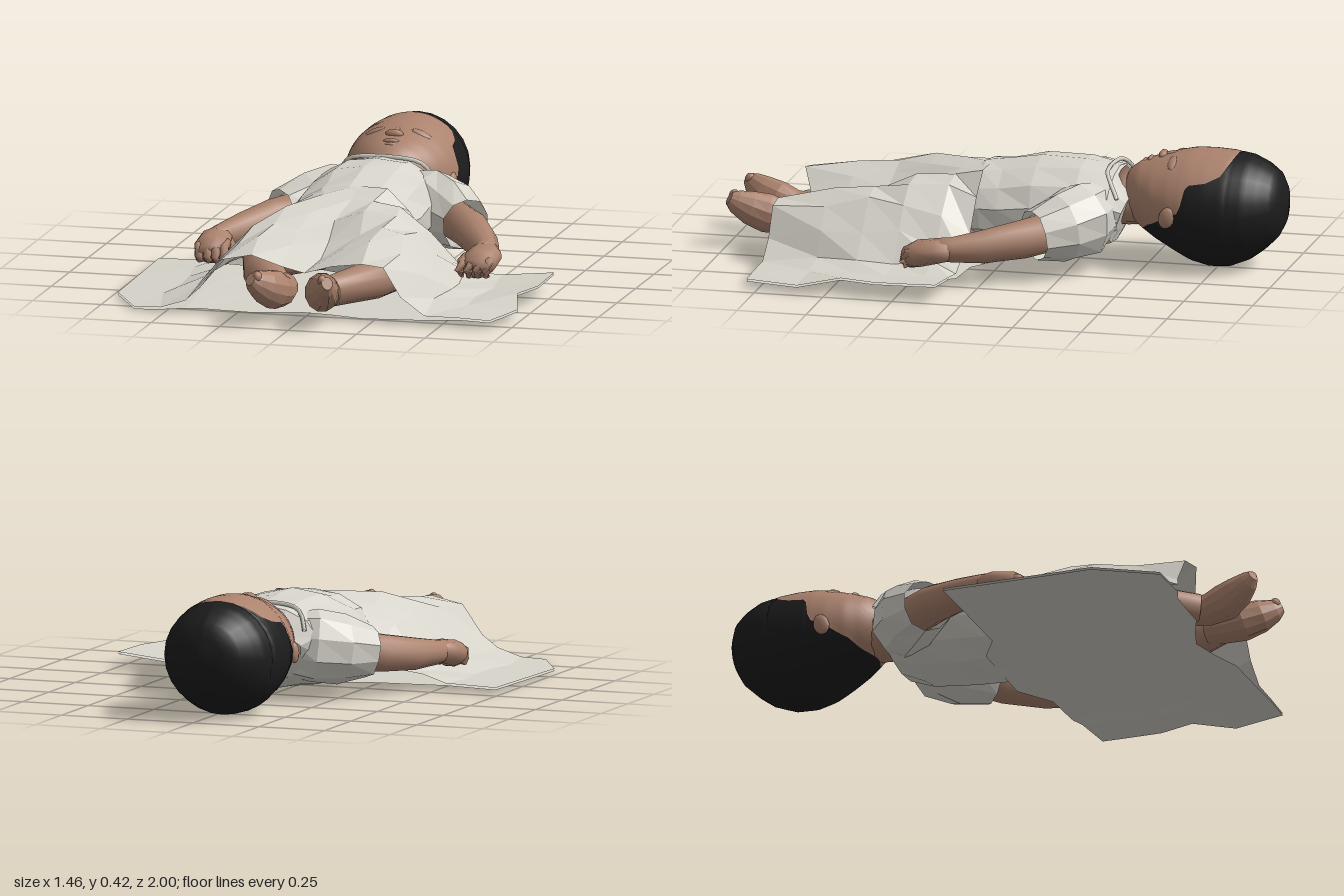
import * as THREE from 'three';

const V = (x, y, z) => new THREE.Vector3(x, y, z);

// Surface through rows of points; optional wrap-around and end caps
function grid(rows, { wrap = false, capStart = false, capEnd = false, flat = true } = {}) {
  const n = rows[0].length, pos = [], idx = [];
  rows.flat().forEach(p => pos.push(p.x, p.y, p.z));
  for (let i = 0; i < rows.length - 1; i++) {
    for (let j = 0; j < (wrap ? n : n - 1); j++) {
      const k = (j + 1) % n, a = i * n + j, b = i * n + k;
      idx.push(a, b, b + n, a, b + n, a + n);
    }
  }
  const cap = (r, end) => {
    const c = rows[r].reduce((s, p) => s.add(p), V(0, 0, 0)).divideScalar(n);
    const m = pos.length / 3;
    pos.push(c.x, c.y, c.z);
    for (let j = 0; j < n; j++) {
      const a = r * n + j, b = r * n + (j + 1) % n;
      if (end) idx.push(m, a, b); else idx.push(m, b, a);
    }
  };
  if (capStart) cap(0, false);
  if (capEnd) cap(rows.length - 1, true);
  let g = new THREE.BufferGeometry();
  g.setAttribute('position', new THREE.Float32BufferAttribute(pos, 3));
  g.setIndex(idx);
  if (flat) g = g.toNonIndexed();
  g.computeVertexNormals();
  return g;
}

// Elliptical loft along stations [x, y, z, halfWidth, halfHeight]
function limb(st, { sides = 12, caps = true, mirror = 1, wobble = 0, flat = false } = {}) {
  const c = st.map(s => V(s[0] * mirror, s[1], s[2]));
  const rows = st.map((s, i) => {
    const t = c[Math.min(i + 1, c.length - 1)].clone().sub(c[Math.max(i - 1, 0)]).normalize();
    const side = V(0, 1, 0).cross(t).normalize();
    const up = t.clone().cross(side);
    return Array.from({ length: sides }, (_, j) => {
      const a = (j + 0.5) / sides * Math.PI * 2;
      const w = 1 + wobble * Math.sin(j * 2.3 + i * 1.9);
      return c[i].clone().addScaledVector(side, Math.cos(a) * s[3] * w).addScaledVector(up, Math.sin(a) * s[4] * w);
    });
  });
  return grid(rows, { wrap: true, capStart: caps, capEnd: caps, flat });
}

// Linear lookup in a table whose first column is the key
function lookup(table, key) {
  let i = 0;
  while (i < table.length - 2 && key > table[i + 1][0]) i++;
  const a = table[i], b = table[i + 1];
  const t = THREE.MathUtils.clamp((key - a[0]) / (b[0] - a[0]), 0, 1);
  return a.map((v, k) => v + (b[k] - v) * t);
}

// Head sections: z, half width, lowest y, highest y
const HEAD = [[-1, 0.01, 0.22, 0.25], [-0.99, 0.07, 0.165, 0.305], [-0.965, 0.12, 0.115, 0.35],
  [-0.92, 0.162, 0.07, 0.383], [-0.87, 0.19, 0.032, 0.405], [-0.8, 0.208, 0.004, 0.416],
  [-0.73, 0.213, 0, 0.42], [-0.66, 0.21, 0.018, 0.418], [-0.6, 0.197, 0.05, 0.405],
  [-0.53, 0.17, 0.09, 0.385], [-0.47, 0.13, 0.13, 0.365], [-0.43, 0.09, 0.17, 0.335], [-0.405, 0.03, 0.22, 0.29]];
// Half angle of the face opening in the hair along z
const HAIRLINE = [[-0.82, 0], [-0.812, 0.4], [-0.79, 0.76], [-0.74, 0.92], [-0.67, 1.0],
  [-0.65, 1.5], [-0.58, 1.75], [-0.52, 2.1], [-0.475, 2.7], [-0.46, Math.PI]];

function headPart(isHair) {
  const rows = [];
  for (let i = 0; i <= 50; i++) {
    const z = -1 + 0.595 * i / 50;
    const [, hw, lo, hi] = lookup(HEAD, z), open = lookup(HAIRLINE, z)[1];
    const from = isHair ? 2 * Math.PI - open : open, to = isHair ? open : -open;
    rows.push(Array.from({ length: 25 }, (_, j) => {
      const a = from + (to - from) * j / 24;
      return V(-0.028 + hw * Math.sin(a), (lo + hi) / 2 + (hi - lo) / 2 * Math.cos(a), z);
    }));
  }
  return grid(rows, { capStart: isHair, capEnd: !isHair, flat: false });
}

// Skirt: heights over columns of x, one row for each z
const SKIRT_X = [0, 0.1, 0.2, 0.29, 0.37, 0.44, 0.55, 0.73];
const SKIRT = [
  [0.07, 0.33, 0.32, 0.26, 0.13, 0.07, 0.045, 0.033, 0.028],
  [0.18, 0.305, 0.312, 0.28, 0.2, 0.11, 0.06, 0.033, 0.026],
  [0.32, 0.255, 0.285, 0.29, 0.235, 0.145, 0.06, 0.03, 0.024],
  [0.45, 0.205, 0.245, 0.268, 0.24, 0.15, 0.06, 0.028, 0.022],
  [0.6, 0.175, 0.212, 0.245, 0.22, 0.135, 0.055, 0.026, 0.02],
  [0.78, 0.15, 0.185, 0.216, 0.19, 0.1, 0.04, 0.022, 0.018]];

function skirtSheet(under) {
  const rows = SKIRT.map((r, i) => {
    const row = [];
    for (let c = 7; c >= -7; c--) {
      const k = Math.abs(c), s = Math.sign(c), edge = k === 7;
      let x = s * SKIRT_X[k], z = r[0];
      if (i === 0) z += c * 0.004;
      if (i === 5) z += k < 2 ? -0.05 + 0.025 * k : s < 0 && k > 4 ? 0.035 : 0.015;
      if (edge && i === 5) x = s < 0 ? -0.61 : 0.68;
      if (k === 6 && i === 5 && s < 0) x = -0.52;
      if (edge && s > 0 && i === 3) x = 0.69;
      let y = r[k + 1];
      if (k < 7) x += 0.015 * Math.sin(i * 2.1 + c * 1.7);
      if (k > 0 && k < 6) y += 0.01 * Math.sin(i * 2.7 + c * 2.2);
      if (k > 5) y += s < 0 ? -0.005 : 0.012 + (edge && i < 4 ? 0.024 : 0);
      if (under) y = k > 5 ? y - 0.008 : 0.008 + k * 0.002;
      row.push(V(x, y, z));
    }
    return row;
  });
  // The back panel narrows up to the waist
  if (under) rows.unshift(rows[0].map(p => Math.abs(p.x) < 0.25 ? V(p.x * 0.8, 0.018, -0.01) : p));
  return grid(rows);
}

export function createModel() {
  const model = new THREE.Group();
  const skin = new THREE.MeshStandardMaterial({ color: 0xab826d });
  skin.name = 'skin';
  const hair = new THREE.MeshStandardMaterial({ color: 0x1c1c1c });
  hair.name = 'hair';
  const cloth = new THREE.MeshStandardMaterial({ color: 0xd6d3ca, side: THREE.DoubleSide });
  cloth.name = 'dressCloth';
  const add = (name, geo, mat) => {
    const m = new THREE.Mesh(geo, mat);
    m.name = name;
    model.add(m);
    return m;
  };
  const blob = (name, p, s) => {
    const m = add(name, new THREE.SphereGeometry(1, 10, 7), skin);
    m.position.set(...p);
    m.scale.set(...s);
    return m;
  };

  // Head, hair and neck
  add('face', headPart(false), skin);
  add('hair', headPart(true), hair);
  add('neck', limb([[-0.025, 0.22, -0.56, 0.1, 0.08], [-0.025, 0.22, -0.43, 0.105, 0.09],
    [-0.025, 0.235, -0.375, 0.14, 0.105]]), skin);

  // Small facial features
  blob('noseBridge', [-0.028, 0.39, -0.575], [0.014, 0.014, 0.035]).rotation.x = 0.25;
  blob('noseTip', [-0.028, 0.388, -0.547], [0.034, 0.018, 0.017]);
  blob('upperLip', [-0.028, 0.368, -0.502], [0.032, 0.015, 0.012]);
  blob('lowerLip', [-0.028, 0.359, -0.482], [0.026, 0.014, 0.011]);
  for (const s of [-1, 1]) {
    const lid = blob('closedEyelid', [-0.028 + s * 0.085, 0.38, -0.6], [0.042, 0.012, 0.02]);
    lid.rotation.set(0.25, 0, -s * 0.42);
    blob('ear', [-0.028 + s * 0.197, 0.21, -0.605], [0.016, 0.04, 0.03]).rotation.x = -0.3;
  }

  // Dress body, neckline and skirt
  add('bodice', limb([[-0.02, 0.19, -0.425, 0.16, 0.08], [-0.02, 0.205, -0.385, 0.21, 0.135],
    [-0.02, 0.196, -0.28, 0.235, 0.166], [-0.02, 0.188, -0.12, 0.245, 0.175], [-0.02, 0.176, 0, 0.24, 0.165],
    [-0.02, 0.174, 0.07, 0.23, 0.162], [-0.02, 0.155, 0.16, 0.21, 0.135]],
  { sides: 14, wobble: 0.02, flat: true }), cloth);
  const neckPath = new THREE.CatmullRomCurve3([V(-0.19, 0.26, -0.42), V(-0.165, 0.315, -0.39),
    V(-0.125, 0.338, -0.37), V(0.085, 0.338, -0.37), V(0.125, 0.315, -0.39), V(0.15, 0.26, -0.42)]);
  add('neckline', new THREE.TubeGeometry(neckPath, 16, 0.008, 5), cloth);
  add('skirtFront', skirtSheet(false), cloth);
  add('skirtBack', skirtSheet(true), cloth);

  for (const mirror of [-1, 1]) {
    const o = { mirror };
    // Puffed sleeve with an open cuff
    add('sleeve', limb([[0.08, 0.2, -0.345, 0.075, 0.11], [0.18, 0.19, -0.305, 0.12, 0.132],
      [0.26, 0.175, -0.245, 0.12, 0.122], [0.335, 0.162, -0.165, 0.092, 0.092]],
    { mirror, sides: 10, caps: false, wobble: 0.04, flat: true }), cloth);
    // Bent arm and closed hand
    add('arm', limb([[0.26, 0.17, -0.24, 0.07, 0.07], [0.36, 0.152, -0.13, 0.07, 0.068],
      [0.437, 0.135, 0, 0.06, 0.058], [0.483, 0.13, 0.1, 0.046, 0.044], [0.49, 0.13, 0.16, 0.042, 0.04]], o), skin);
    add('hand', limb([[0.485, 0.13, 0.1, 0.042, 0.038], [0.492, 0.125, 0.15, 0.06, 0.044],
      [0.487, 0.112, 0.215, 0.066, 0.048], [0.477, 0.095, 0.255, 0.053, 0.04]], o), skin);
    for (let f = 0; f < 4; f++) {
      const x = 0.437 + f * 0.031;
      add('finger', limb([[x, 0.13, 0.2, 0.015, 0.015], [x - 0.003, 0.118, 0.25, 0.018, 0.018],
        [x - 0.006, 0.09, 0.28 - f * 0.006, 0.017, 0.017], [x - 0.008, 0.07, 0.25, 0.013, 0.013]],
      { mirror, sides: 6 }), skin);
    }
    add('thumb', limb([[0.455, 0.125, 0.13, 0.018, 0.018], [0.425, 0.105, 0.18, 0.02, 0.02],
      [0.425, 0.08, 0.225, 0.014, 0.014]], { mirror, sides: 6 }), skin);
    // Splayed leg under the skirt
    add('leg', limb([[0.09, 0.12, 0.06, 0.085, 0.09], [0.19, 0.125, 0.26, 0.085, 0.085],
      [0.245, 0.125, 0.42, 0.08, 0.08], [0.2, 0.11, 0.58, 0.075, 0.07],
      [0.095, 0.1, 0.77, 0.055, 0.055]], o), skin);
    // Foot turned up and out, tapering to the toes
    add('foot', limb([[0.085, 0.1, 0.74, 0.052, 0.052], [0.08, 0.1, 0.8, 0.056, 0.058],
      [0.088, 0.115, 0.865, 0.062, 0.07], [0.11, 0.138, 0.925, 0.052, 0.06],
      [0.13, 0.162, 0.97, 0.033, 0.042], [0.14, 0.175, 0.99, 0.02, 0.024]], { mirror, flat: true }), skin);
    blob('bigToe', [mirror * 0.118, 0.182, 0.976], [0.016, 0.02, 0.02]);
  }
  return model;
}
